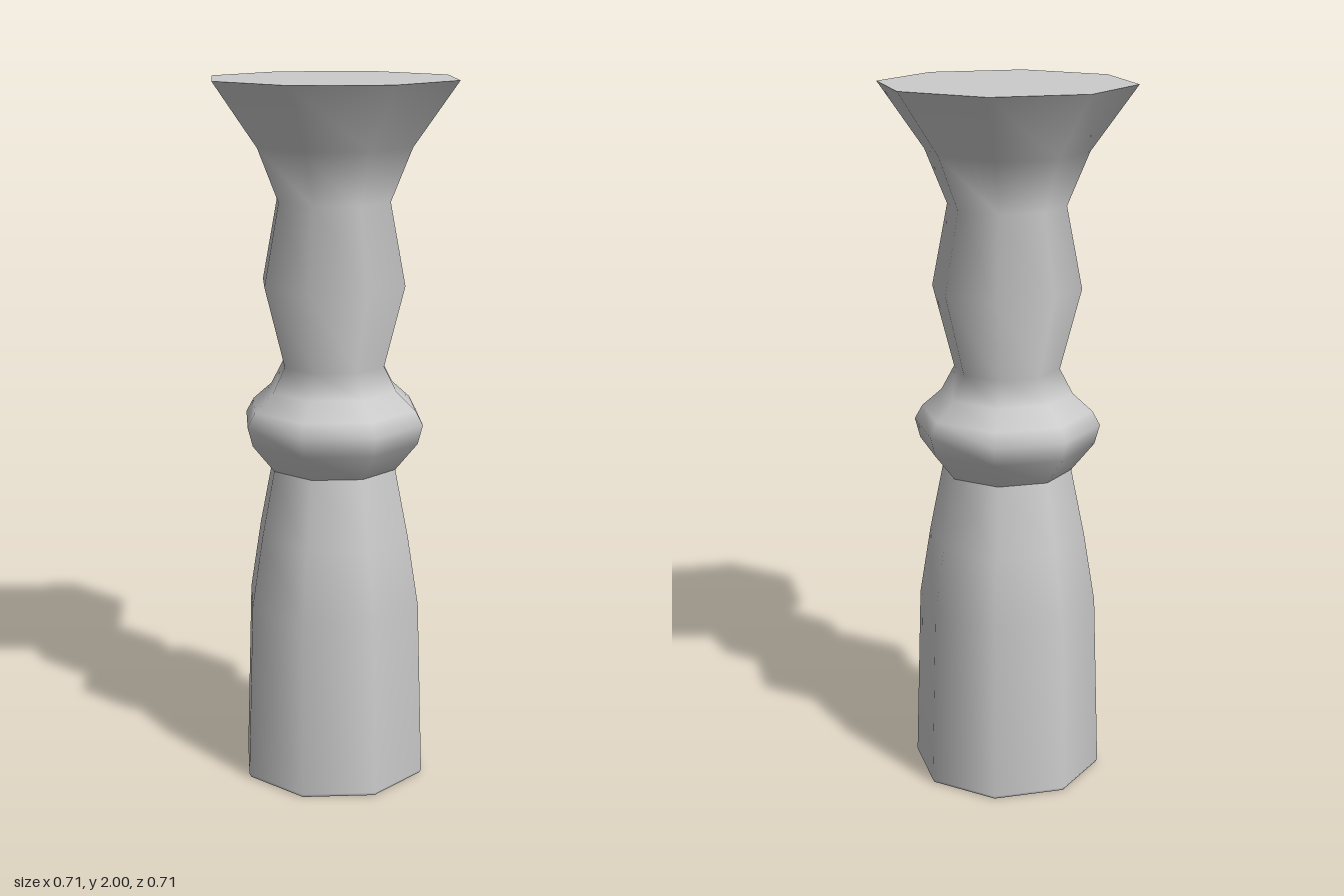
import * as THREE from 'three';

const SIDES = 8;

// Profiles as [radius, height], bottom to top
const LOWER = [[0.266, 0], [0.272, 0.01], [0.256, 0.52], [0.224, 0.72], [0.185, 0.915]];
const UPPER = [
  [0.185, 0.915], [0.25, 0.995], [0.265, 1.05], [0.243, 1.09], [0.187, 1.14],
  [0.15, 1.21], [0.21, 1.44], [0.166, 1.67], [0.228, 1.82], [0.357, 2],
];

export function createModel() {
  const group = new THREE.Group();
  group.name = 'baluster';
  const material = new THREE.MeshStandardMaterial({ color: 0xcccccc });

  const add = (name, geometry) => {
    const mesh = new THREE.Mesh(geometry, material);
    mesh.name = name;
    group.add(mesh);
    return mesh;
  };
  const turned = (profile) =>
    new THREE.LatheGeometry(profile.map(([r, y]) => new THREE.Vector2(r, y)), SIDES);

  // Turned body, with a crease under the collar
  add('lowerShaft', turned(LOWER));
  add('collarNeckAndFlare', turned(UPPER));

  // Flat end caps
  add('bottomCap', new THREE.CircleGeometry(LOWER[0][0], SIDES).rotateX(Math.PI / 2));
  const topCap = add('topCap', new THREE.CircleGeometry(0.357, SIDES).rotateX(-Math.PI / 2));
  topCap.position.y = 2;

  return group;
}
